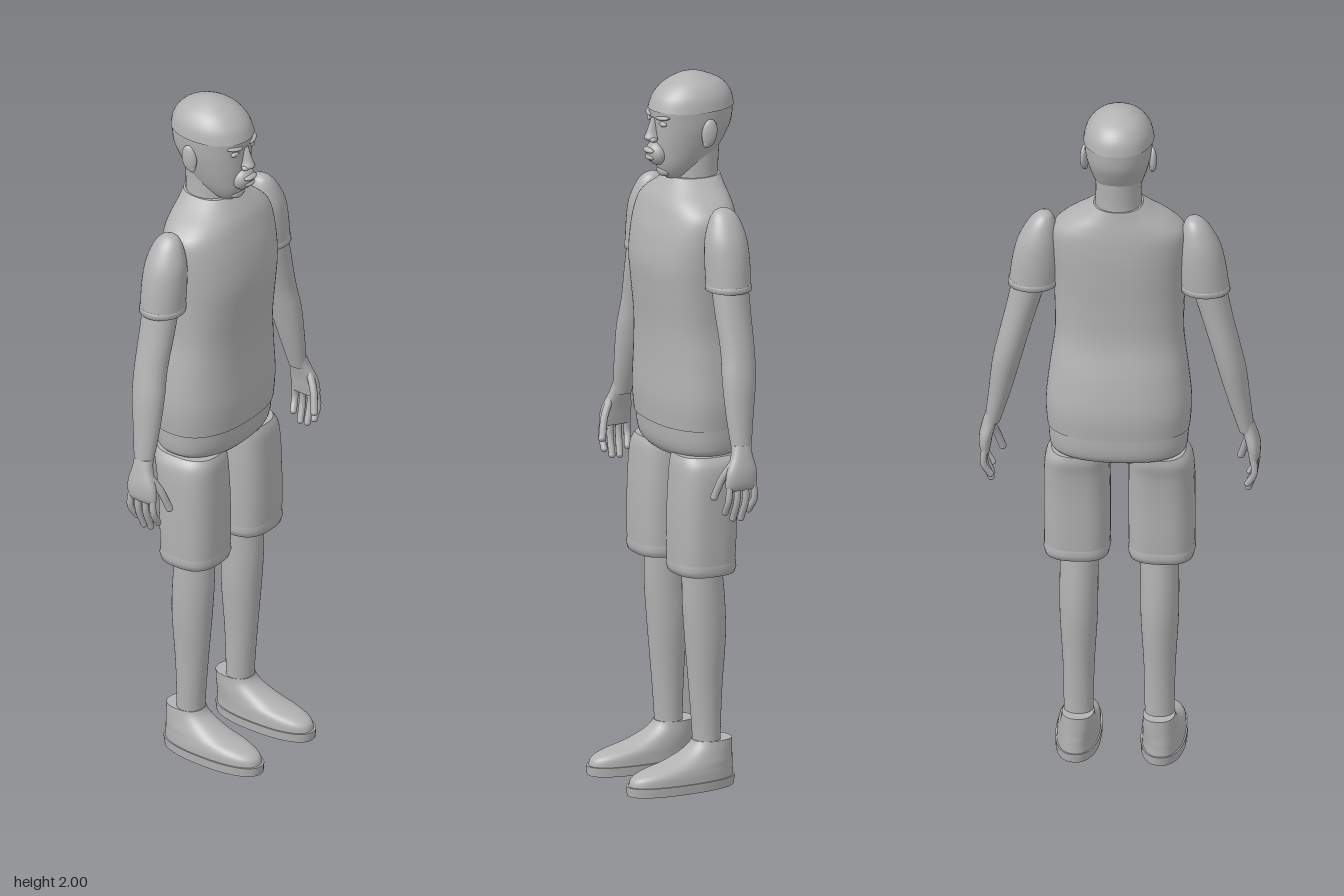
import * as THREE from 'three';

const grey = new THREE.MeshStandardMaterial({ color: 0xb2b2b2 });
grey.name = 'plain grey';

// Smooth value between p1 and p2 (Catmull-Rom)
const blend = (p0, p1, p2, p3, t) => 0.5 * (2 * p1 + (p2 - p0) * t
  + (2 * p0 - 5 * p1 + 4 * p2 - p3) * t * t + (3 * p1 - p0 - 3 * p2 + p3) * t * t * t);

// Lofts horizontal rings, listed upwards as [y, centre x, half width, front z, back z]
function loft(name, rings, { side = 1, power = 2, steps = 5, n = 40, bottom = true, top = true } = {}) {
  const rows = [];
  const at = i => rings[Math.max(0, Math.min(rings.length - 1, i))];
  for (let i = 0; i < rings.length - 1; i++) {
    for (let k = 0; k < steps; k++) {
      rows.push(rings[i].map((_, c) =>
        blend(at(i - 1)[c], at(i)[c], at(i + 1)[c], at(i + 2)[c], steps === 1 ? 0 : k / steps)));
    }
  }
  rows.push(at(rings.length));
  const pos = [], index = [];
  const ring = ([y, cx, rx, zf, zb]) => {
    for (let j = 0; j < n; j++) {
      const a = j / n * Math.PI * 2, c = Math.cos(a), s = Math.sin(a);
      pos.push(cx * side + rx * Math.sign(c) * Math.abs(c) ** (2 / power), y,
        (zf + zb) / 2 + (zf - zb) / 2 * Math.sign(s) * Math.abs(s) ** (2 / power));
    }
  };
  rows.forEach(ring);
  for (let i = 0; i < rows.length - 1; i++) {
    for (let j = 0; j < n; j++) {
      const a = i * n + j, b = i * n + (j + 1) % n;
      index.push(a, a + n, b, b, a + n, b + n);
    }
  }
  // flat end caps with their own vertices
  const cap = (r, up) => {
    const start = pos.length / 3;
    ring(r);
    pos.push(r[1] * side, r[0], (r[3] + r[4]) / 2);
    for (let j = 0; j < n; j++) {
      const a = start + j, b = start + (j + 1) % n;
      index.push(start + n, up ? b : a, up ? a : b);
    }
  };
  if (bottom) cap(rows[0], false);
  if (top) cap(rows[rows.length - 1], true);
  const g = new THREE.BufferGeometry();
  g.setAttribute('position', new THREE.Float32BufferAttribute(pos, 3));
  g.setIndex(index);
  g.computeVertexNormals();
  return mesh(name, g);
}

function mesh(name, geometry) {
  const m = new THREE.Mesh(geometry, grey);
  m.name = name;
  return m;
}

function ellipsoid(name, p, r, tilt = [0, 0, 0]) {
  const m = mesh(name, new THREE.SphereGeometry(1, 20, 14));
  m.position.set(...p);
  m.scale.set(...r);
  m.rotation.set(...tilt);
  return m;
}

// Rounded finger along a short curve
function finger(name, points, radius) {
  const curve = new THREE.CatmullRomCurve3(points.map(p => new THREE.Vector3(...p)));
  const g = new THREE.Group();
  g.name = name;
  g.add(mesh(name + 'Shaft', new THREE.TubeGeometry(curve, 10, radius, 10)));
  g.add(ellipsoid(name + 'Tip', points[points.length - 1], [radius, radius, radius]));
  return g;
}

function makeHead() {
  const head = new THREE.Group();
  head.name = 'head';
  head.add(
    loft('face', [
      [1.71, 0, 0.028, 0.012, -0.045], [1.725, 0, 0.042, 0.026, -0.075], [1.75, 0, 0.057, 0.037, -0.11],
      [1.78, 0, 0.069, 0.042, -0.137], [1.82, 0, 0.081, 0.046, -0.162], [1.86, 0, 0.09, 0.048, -0.18],
      [1.91, 0, 0.094, 0.052, -0.186]], { power: 2.15 }),
    loft('skullCap', [
      [1.905, 0, 0.097, 0.055, -0.188], [1.94, 0, 0.089, 0.041, -0.18], [1.97, 0, 0.069, 0.012, -0.156],
      [1.99, 0, 0.04, -0.024, -0.115], [1.998, 0, 0.018, -0.05, -0.09], [2.0, 0, 0.002, -0.068, -0.072]], { power: 2.1 }),
    loft('neck', [
      [1.66, 0, 0.07, -0.005, -0.148], [1.72, 0, 0.064, -0.008, -0.143], [1.8, 0, 0.062, -0.01, -0.148]]),
    loft('nose', [
      [1.817, 0, 0.012, 0.062, 0.03], [1.827, 0, 0.019, 0.076, 0.03], [1.845, 0, 0.013, 0.069, 0.03],
      [1.885, 0, 0.007, 0.055, 0.03]], { n: 20 }),
    ellipsoid('mouthMound', [0, 1.782, 0.04], [0.036, 0.034, 0.027], [0.25, 0, 0]),
    ellipsoid('upperLip', [0, 1.793, 0.063], [0.024, 0.008, 0.013]),
    ellipsoid('lowerLip', [0, 1.773, 0.058], [0.021, 0.009, 0.013]),
    ellipsoid('chin', [0, 1.73, 0.016], [0.028, 0.017, 0.018]));
  for (const s of [1, -1]) {
    head.add(
      ellipsoid('eye', [s * 0.036, 1.872, 0.038], [0.015, 0.008, 0.009]),
      ellipsoid('brow', [s * 0.038, 1.889, 0.04], [0.025, 0.006, 0.011], [0, s * 0.35, s * 0.12]),
      ellipsoid('nostril', [s * 0.014, 1.824, 0.056], [0.009, 0.008, 0.011]),
      ellipsoid('ear', [s * 0.094, 1.846, -0.075], [0.011, 0.039, 0.022], [-0.15, s * -0.2, 0]),
      ellipsoid('earLobe', [s * 0.092, 1.817, -0.068], [0.008, 0.013, 0.012]));
  }
  return head;
}

function makeArm(side) {
  const arm = new THREE.Group();
  arm.name = side > 0 ? 'leftArm' : 'rightArm';
  arm.add(
    loft('sleeve', [
      [1.45, 0.236, 0.066, 0.003, -0.118], [1.52, 0.229, 0.064, 0.004, -0.12], [1.58, 0.222, 0.056, 0.001, -0.116],
      [1.63, 0.213, 0.039, -0.014, -0.102], [1.655, 0.207, 0.023, -0.03, -0.085], [1.664, 0.205, 0.008, -0.048, -0.066]],
    { side, bottom: false }),
    loft('sleeveHem', [
      [1.47, 0.235, 0.058, -0.004, -0.11], [1.442, 0.237, 0.06, -0.002, -0.112], [1.442, 0.237, 0.068, 0.005, -0.12],
      [1.455, 0.236, 0.068, 0.005, -0.12], [1.458, 0.236, 0.065, 0.002, -0.117]],
    { side, steps: 1, bottom: false, top: false }),
    loft('bareArm', [
      [1.0, 0.349, 0.021, -0.013, -0.066], [1.1, 0.328, 0.031, -0.006, -0.083], [1.2, 0.309, 0.039, -0.004, -0.1],
      [1.28, 0.29, 0.041, -0.009, -0.106], [1.38, 0.264, 0.044, -0.006, -0.108], [1.5, 0.234, 0.05, -0.004, -0.11]],
    { side }),
    loft('palm', [
      [0.908, 0.367, 0.011, 0.016, -0.07], [0.925, 0.369, 0.016, 0.02, -0.074], [0.96, 0.366, 0.019, 0.014, -0.075],
      [1.0, 0.356, 0.02, -0.004, -0.067], [1.03, 0.346, 0.021, -0.012, -0.066]], { side, power: 2.4 }));
  // four curled fingers and the thumb
  const tips = [0.845, 0.825, 0.823, 0.845];
  tips.forEach((tip, i) => {
    const z = 0.008 - i * 0.024;
    arm.add(finger('finger' + (i + 1), [
      [side * 0.368, 0.93, z], [side * 0.371, 0.88, z * 1.1 + 0.004], [side * 0.353, tip, z + 0.006]], 0.0095));
  });
  arm.add(finger('thumb', [
    [side * 0.358, 0.98, -0.005], [side * 0.344, 0.94, 0.018], [side * 0.327, 0.885, 0.034]], 0.0105));
  return arm;
}

function makeLeg(side) {
  const leg = new THREE.Group();
  leg.name = side > 0 ? 'leftLeg' : 'rightLeg';
  leg.add(
    loft('shortsLeg', [
      [0.645, 0.116, 0.09, 0.05, -0.123], [0.7, 0.116, 0.091, 0.051, -0.126], [0.8, 0.116, 0.091, 0.05, -0.13],
      [0.88, 0.116, 0.09, 0.046, -0.138], [0.925, 0.114, 0.086, 0.042, -0.148], [0.95, 0.108, 0.076, 0.034, -0.148]],
    { side, power: 2.7, bottom: false }),
    loft('shortsHem', [
      [0.69, 0.116, 0.078, 0.038, -0.112], [0.616, 0.116, 0.08, 0.04, -0.113], [0.616, 0.116, 0.088, 0.047, -0.121],
      [0.632, 0.116, 0.092, 0.052, -0.126], [0.648, 0.116, 0.09, 0.05, -0.123]],
    { side, power: 2.7, steps: 1, bottom: false, top: false }),
    loft('shin', [
      [0.1, 0.111, 0.041, -0.018, -0.096], [0.16, 0.111, 0.041, -0.016, -0.095], [0.28, 0.111, 0.044, -0.006, -0.1],
      [0.42, 0.111, 0.052, 0.006, -0.11], [0.52, 0.111, 0.053, 0.013, -0.108], [0.62, 0.11, 0.053, 0.014, -0.1],
      [0.72, 0.112, 0.058, 0.02, -0.1]], { side }),
    loft('sole', [
      [0, 0.117, 0.062, 0.188, -0.132], [0.026, 0.117, 0.063, 0.19, -0.136]], { side, power: 2.3, steps: 1 }),
    loft('shoeUpper', [
      [0.024, 0.117, 0.059, 0.184, -0.131], [0.045, 0.117, 0.058, 0.176, -0.13], [0.06, 0.116, 0.056, 0.145, -0.13],
      [0.075, 0.115, 0.053, 0.085, -0.129], [0.095, 0.113, 0.049, 0.032, -0.129], [0.115, 0.112, 0.046, -0.002, -0.129],
      [0.132, 0.111, 0.044, -0.015, -0.129]], { side, power: 2.3 }));
  return leg;
}

export function createModel() {
  const model = new THREE.Group();
  model.name = 'standingFigure';
  model.add(
    makeHead(),
    // shirt body, with sloping shoulders
    loft('shirt', [
      [1.025, 0, 0.195, 0.064, -0.188], [1.1, 0, 0.2, 0.069, -0.191], [1.2, 0, 0.19, 0.067, -0.176],
      [1.3, 0, 0.177, 0.069, -0.155], [1.4, 0, 0.178, 0.079, -0.154], [1.48, 0, 0.182, 0.085, -0.158],
      [1.56, 0, 0.187, 0.074, -0.161], [1.62, 0, 0.183, 0.056, -0.159], [1.655, 0, 0.152, 0.042, -0.155],
      [1.685, 0, 0.105, 0.022, -0.15], [1.712, 0, 0.068, 0.0, -0.146]], { power: 2.35, n: 64 }),
    // seat of the shorts
    loft('shortsSeat', [
      [0.938, 0, 0.14, 0.03, -0.142], [0.955, 0, 0.18, 0.045, -0.172], [0.985, 0, 0.19, 0.055, -0.183],
      [1.04, 0, 0.192, 0.06, -0.185]], { power: 2.35, n: 64 }));
  for (const side of [1, -1]) model.add(makeArm(side), makeLeg(side));
  return model;
}
